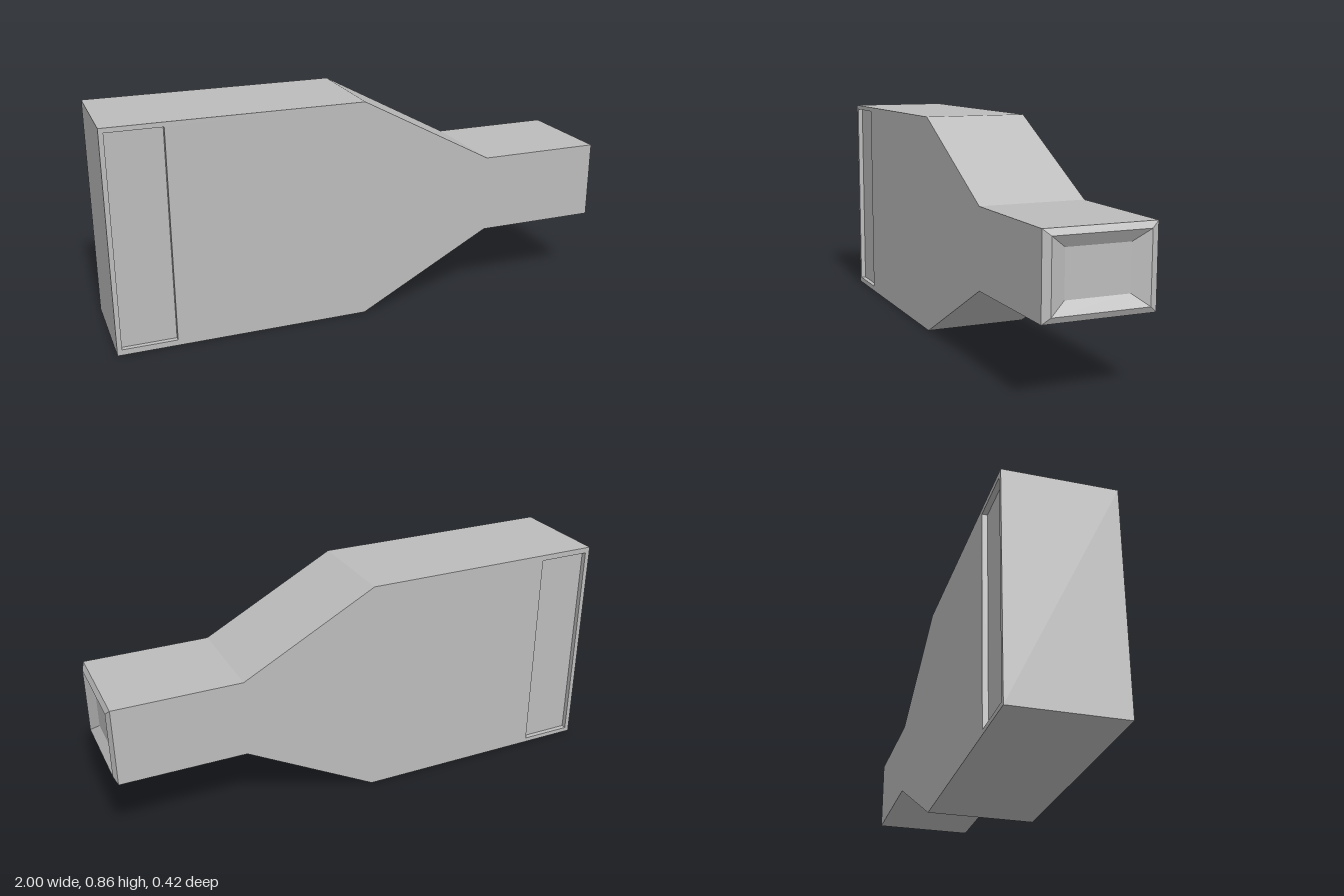
import * as THREE from 'three';

const HALF = 0.208;      // half thickness of the body
const MID = 0.4315;      // height of the horizontal mirror plane
const grey = new THREE.MeshStandardMaterial({ color: 0xbcbcbc });
grey.name = 'grey';

// Flat-shaded geometry from four-cornered faces
function facesGeometry(quads) {
  const pos = [];
  for (const [a, b, c, d] of quads) pos.push(...a, ...b, ...c, ...a, ...c, ...d);
  const geo = new THREE.BufferGeometry();
  geo.setAttribute('position', new THREE.Float32BufferAttribute(pos, 3));
  geo.computeVertexNormals();
  return geo;
}

// Bands between successive four-cornered loops, using only the listed edges
function bands(loops, edges = [0, 1, 2, 3]) {
  const quads = [];
  for (let k = 0; k + 1 < loops.length; k++) {
    const a = loops[k], b = loops[k + 1];
    for (const i of edges) {
      const j = (i + 1) % 4;
      quads.push([a[i], a[j], b[j], b[i]]);
    }
  }
  return quads;
}

// Rectangle across x (facing +x) and rectangle across z (facing +z)
const sectionX = ([x, y0, y1, z]) => [[x, y0, z], [x, y0, -z], [x, y1, -z], [x, y1, z]];
const sectionZ = (x0, x1, y0, y1, z) => [[x0, y0, z], [x1, y0, z], [x1, y1, z], [x0, y1, z]];

function part(name, geo) {
  const mesh = new THREE.Mesh(geo, grey);
  mesh.name = name;
  return mesh;
}

export function createModel() {
  const model = new THREE.Group();
  model.name = 'ductAdapter';

  // Outer casing: wide box, tapered shoulder, narrow neck
  const sections = [
    [-1, 0, 0.863, HALF],
    [-0.025, 0, 0.863, HALF],
    [0.5, 0.28, 0.583, HALF],
    [0.988, 0.28, 0.583, HALF],
  ];
  const loops = sections.map(sectionX);
  model.add(part('casing', facesGeometry([...bands(loops, [0, 2]), [...loops[0]].reverse()])));

  // Neck mouth: bevelled rim and shallow funnel with a flat back
  const mouth = [
    sections[3],
    [1, 0.303, 0.56, 0.18],
    [0.973, 0.347, 0.517, 0.12],
  ].map(sectionX);
  model.add(part('mouth', facesGeometry([...bands(mouth), mouth[2]])));

  // Side wall with a rectangular opening
  const outline = [
    ...sections.map(([x, y]) => new THREE.Vector2(x, y)),
    ...sections.map(([x, , y]) => new THREE.Vector2(x, y)).reverse(),
  ];
  const [x0, x1, y0, y1] = [-0.982, -0.775, 0.022, 0.845];
  const wall = new THREE.Shape(outline);
  wall.holes.push(new THREE.Path([[x0, y0], [x0, y1], [x1, y1], [x1, y0]]
    .map(([x, y]) => new THREE.Vector2(x, y))));
  const wallGeo = new THREE.ShapeGeometry(wall).translate(0, 0, HALF);

  // Recessed panel behind the opening
  const recess = [HALF, HALF - 0.02].map((z) => sectionZ(x0, x1, y0, y1, z));
  const recessGeo = facesGeometry([...bands(recess), recess[1]]);

  // Front and back sides, mirrored across the thickness
  for (const [label, sign] of [['front', 1], ['back', -1]]) {
    const side = new THREE.Group();
    side.name = label + 'Side';
    side.add(part(label + 'Wall', wallGeo), part(label + 'Recess', recessGeo));
    if (sign < 0) {
      // half turn about the long axis through the middle height
      side.rotation.x = Math.PI;
      side.position.y = 2 * MID;
    }
    model.add(side);
  }
  return model;
}
